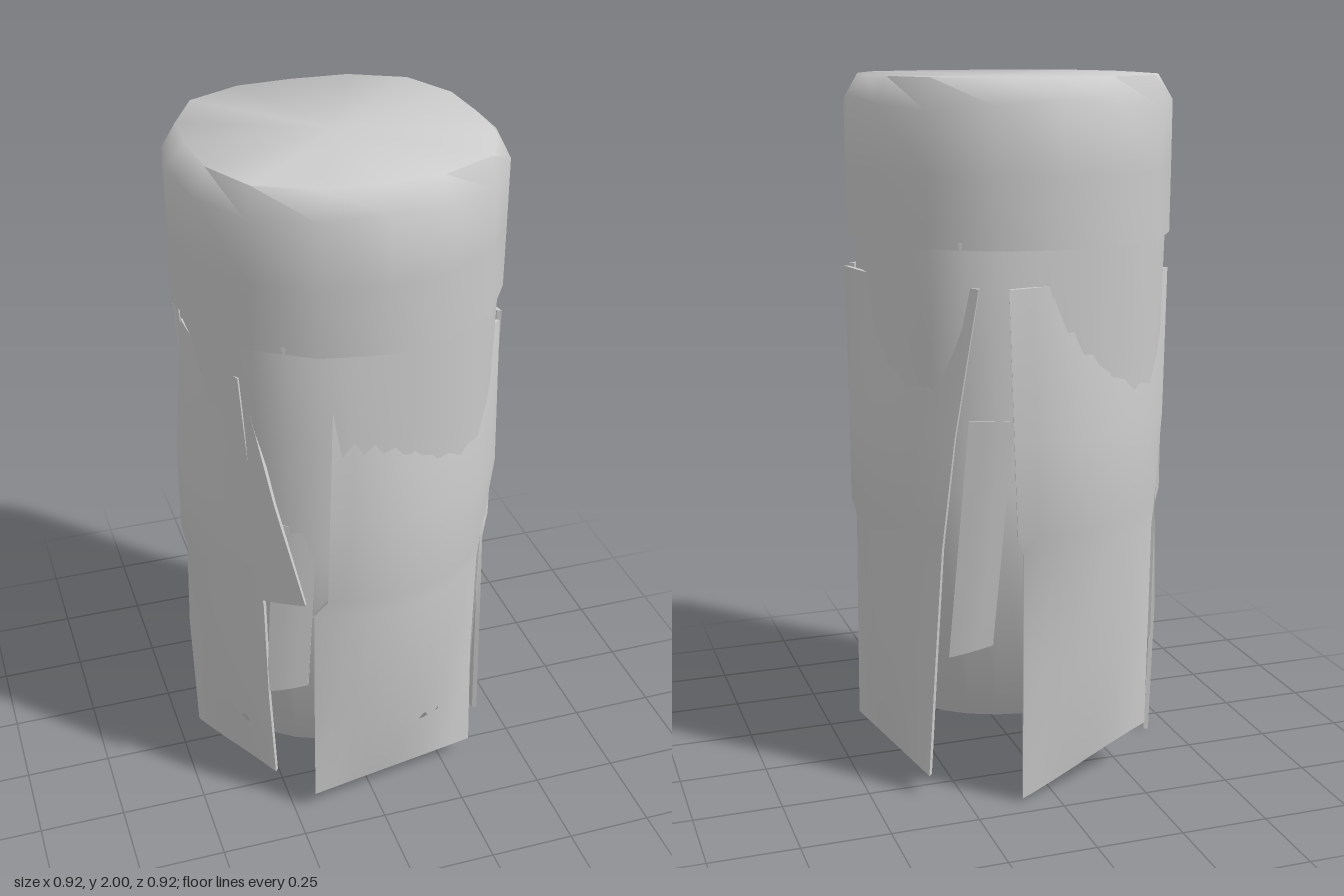
import * as THREE from 'three';
import { toCreasedNormals } from 'three/addons/utils/BufferGeometryUtils.js';

const material = new THREE.MeshStandardMaterial({ color: 0xcccccc });
const rad = THREE.MathUtils.degToRad;
const lerp = THREE.MathUtils.lerp;

function addPart(parent, name, geometry, crease = 0.9) {
  const mesh = new THREE.Mesh(toCreasedNormals(geometry, crease), material);
  mesh.name = name;
  parent.add(mesh);
}

// Lathe reshaped between the four cardinal directions; profile rows are
// [radius, height, extra radius at the diagonals, extra height at the diagonals]
function squaredLathe(rows, sides) {
  const geometry = new THREE.LatheGeometry(rows.map(([r, y]) => new THREE.Vector2(r, y)), sides);
  const p = geometry.attributes.position;
  for (let i = 0; i < p.count; i++) {
    const [r, y, swell, rise] = rows[i % rows.length];
    const a = Math.floor(i / rows.length) / sides * Math.PI * 2;
    const diagonal = (1 - Math.cos(4 * a)) / 2;
    const radius = r + swell * diagonal;
    p.setXYZ(i, radius * Math.sin(a), y + rise * diagonal, radius * Math.cos(a));
  }
  return geometry;
}

// Slab skinned through rows of [yStart, yEnd, radiusStart, radiusEnd, angleStart, angleEnd, bulge].
// Angles run in degrees from +z towards +x; bulge 0 is a flat plank, 1 follows the trunk.
function barkSlab(rows, thickness = 0.014, columns = 10) {
  const n = columns + 1, ring = 2 * n;
  const positions = [], index = [];
  for (const [y0, y1, r0, r1, a0, a1, bulge] of rows) {
    const half = rad(a1 - a0) / 2;
    for (let k = 0; k < ring; k++) {
      const outer = k < n;
      const t = (outer ? k : ring - 1 - k) / columns;
      const a = rad(lerp(a0, a1, t));
      const chord = Math.cos(half) / Math.cos(half * (2 * t - 1));
      const r = lerp(r0, r1, t) * lerp(chord, 1, bulge) - (outer ? 0 : thickness);
      positions.push(r * Math.sin(a), lerp(y0, y1, t), r * Math.cos(a));
    }
  }
  const quad = (a, b, c, d) => index.push(a, b, c, a, c, d);
  for (let i = 0; i < rows.length - 1; i++) {
    for (let k = 0; k < ring; k++) {
      const next = (k + 1) % ring;
      quad(i * ring + k, i * ring + next, (i + 1) * ring + next, (i + 1) * ring + k);
    }
  }
  const top = (rows.length - 1) * ring;
  for (let j = 0; j < columns; j++) {
    const inner = ring - 1 - j;
    quad(j, inner, inner - 1, j + 1);
    quad(top + j, top + j + 1, top + inner - 1, top + inner);
  }
  const geometry = new THREE.BufferGeometry();
  geometry.setAttribute('position', new THREE.Float32BufferAttribute(positions, 3));
  geometry.setIndex(index);
  return geometry;
}

export function createModel() {
  const model = new THREE.Group();
  model.name = 'barkPost';

  // Inner trunk, shorter than the bark and flush with the cap at the diagonals
  addPart(model, 'core', squaredLathe([
    [0, 0.25, 0, 0], [0.405, 0.25, 0.02, 0], [0.412, 0.9, 0.024, 0],
    [0.418, 1.3, 0.037, 0], [0.417, 1.58, 0.046, 0],
  ], 32), 1.7);

  // Cap with a soft bevel, deeper at the diagonals
  addPart(model, 'cap', squaredLathe([
    [0.405, 1.56, 0.04, 0], [0.46, 1.56, 0.006, 0], [0.46, 1.75, 0.008, 0],
    [0.46, 1.945, 0.008, -0.03], [0.4, 2, 0.045, 0], [0, 1.995, 0, 0],
  ], 16), 1.2);

  // Four tall planks of bark, flat at foot and top and rounded in between
  const planks = [
    { name: 'frontBark', foot: [-25, 47], step: -20, head: [-18, 66], y: [0.06, 0.06],
      r: [0.452, 0.465], upper: [0.447, 0.475], headStart: 0.427 },
    { name: 'rightBark', foot: [66, 133], step: 73, head: [73, 152], y: [0.06, 0.06],
      r: [0.46, 0.465], upper: [0.462, 0.46], headStart: 0.468 },
    { name: 'backBark', foot: [167, 225], step: 165, head: [162, 246], y: [0.01, 0.13],
      r: [0.451, 0.452], upper: [0.458, 0.46], headStart: 0.465 },
    { name: 'leftBark', foot: [257, 318], step: 259, head: [258, 309], y: [0, 0.1],
      r: [0.442, 0.432], upper: [0.462, 0.45], headStart: 0.43 },
  ];
  planks.forEach(({ name, foot: [a0, a1], step, head: [h0, h1], y: [y0, y1], r: [r0, r1],
    upper: [u0, u1], headStart }) => {
    const end = (t) => lerp(a1, h1, t);
    addPart(model, name, barkSlab([
      [y0, y1, r0, r1, a0, a1, 0],
      [0.4, 0.4, 0.454, 0.45, a0, end(0.1), 0.9],
      [0.73, 0.73, 0.447, 0.447, a0, end(0.25), 1],
      [0.78, 0.78, u0, 0.45, step, end(0.3), 1],
      [1.05, 1.05, u0, u1, lerp(step, h0, 0.4), end(0.55), 1],
      [1.46, 1.46, headStart, 0.46, h0, h1, 0.4],
    ]));
  });

  // Peeling flap whose lower corner stands off the trunk
  addPart(model, 'peelingFlap', barkSlab([
    [0.72, 0.8, 0.43, 0.495, 300, 333, 0.6],
    [1.1, 1.1, 0.44, 0.468, 292, 322, 0.8],
    [1.47, 1.47, 0.43, 0.452, 288, 309, 0.8],
  ]));

  // Narrow splinters in the seams, each sunk into the trunk along one side
  const splinters = [
    // foot angle, top angle, width, foot height, top height
    [-44, -40, 16, 0.42, 1.02],
    [52, 62, 12, 0.25, 1.0],
    [140, 148, 16, 0.42, 1.1],
    [233, 240, 14, 0.38, 1.02],
  ];
  splinters.forEach(([foot, top, width, y0, y1], i) => {
    addPart(model, 'barkSplinter' + (i + 1), barkSlab([
      [y0, y0 + 0.04, 0.445, 0.425, foot, foot + width, 1],
      [y1, y1, 0.445, 0.425, top, top + width, 1],
    ], 0.03, 3));
  });

  return model;
}
